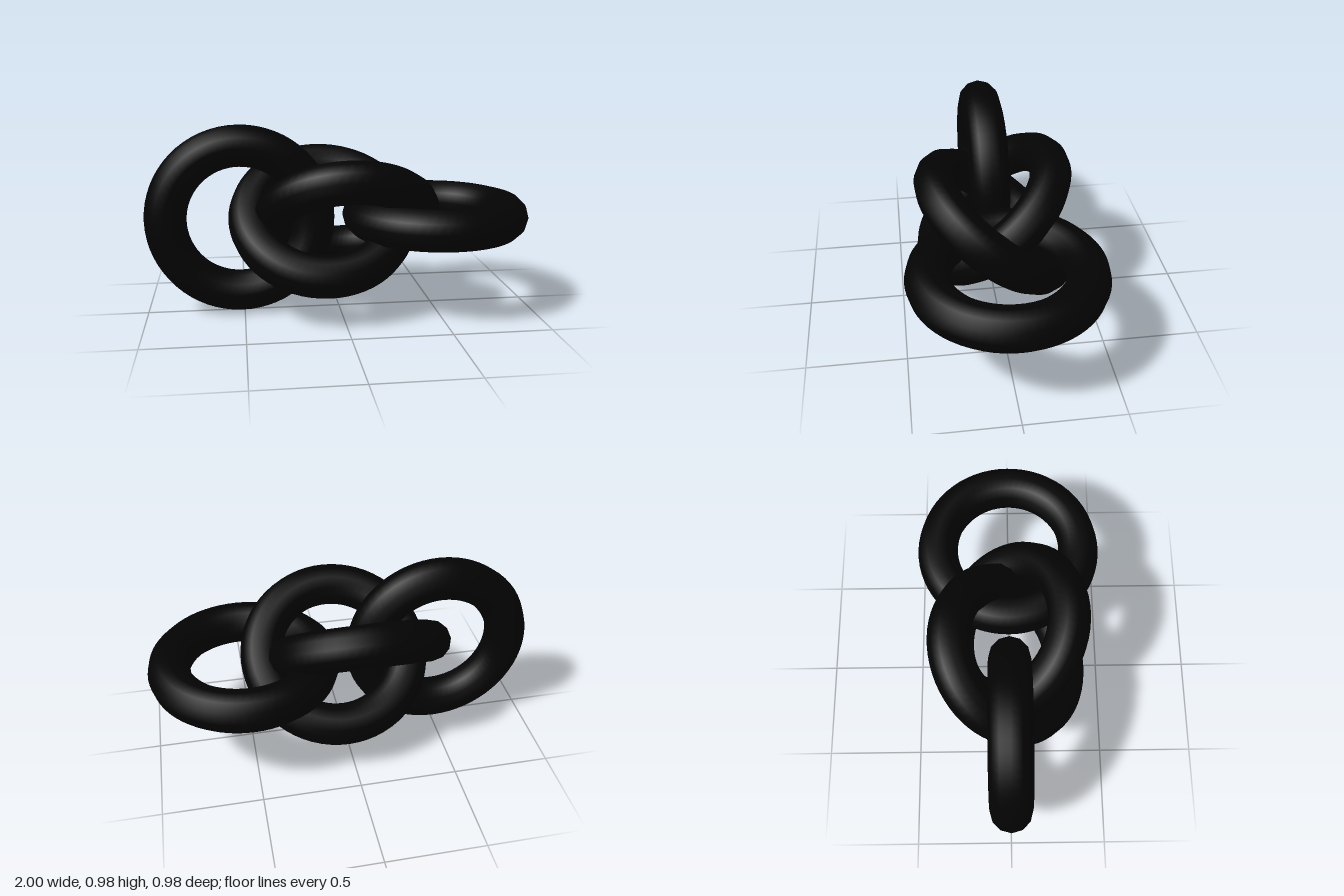
import * as THREE from 'three';

export function createModel() {
  const model = new THREE.Group();
  const ringRadius = 0.381;
  const tubeRadius = 0.1075;
  const centreY = ringRadius + tubeRadius;

  const material = new THREE.MeshStandardMaterial({ color: 0x030303 });
  const ring = new THREE.TorusGeometry(ringRadius, tubeRadius, 12, 64);

  // Four equal links along x, each turned about the x axis
  const links = [
    { name: 'uprightLink', x: -0.5115, tilt: 0 },
    { name: 'backTiltedLink', x: -0.085, tilt: -52 },
    { name: 'frontTiltedLink', x: 0.04, tilt: 52 },
    { name: 'flatLink', x: 0.5115, tilt: 90 },
  ];

  for (const { name, x, tilt } of links) {
    const link = new THREE.Mesh(ring, material);
    link.name = name;
    link.position.set(x, centreY, 0);
    link.rotation.x = THREE.MathUtils.degToRad(tilt);
    model.add(link);
  }

  return model;
}
